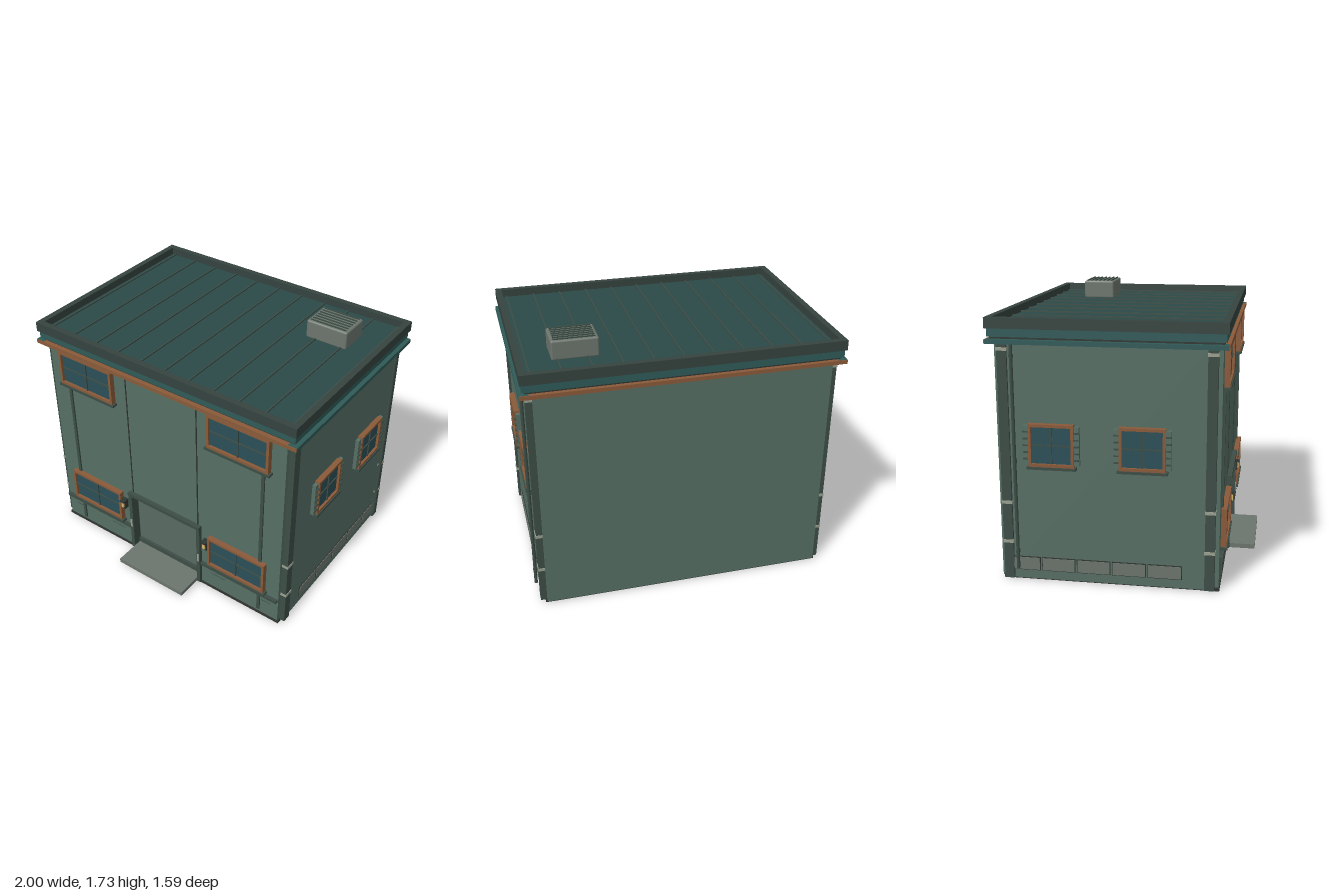
import * as THREE from 'three';
import { RoundedBoxGeometry } from 'three/addons/geometries/RoundedBoxGeometry.js';

const mat = (color, side = THREE.FrontSide) => new THREE.MeshStandardMaterial({ color, side });

export function createModel() {
  const M = {
    wall: mat(0x566f64), trim: mat(0x3d4d46), dark: mat(0x303632), roof: mat(0x2b4a47),
    teal: mat(0x2f5a57), parapet: mat(0x35433f), copper: mat(0x8a5a3a), glass: mat(0x2c4f58),
    grey: mat(0x6c756d), pale: mat(0x9aa090), lamp: mat(0xd9b56a), door: mat(0x586b61),
  };
  const model = new THREE.Group();
  model.name = 'building';

  const add = (parent, name, geometry, material, x = 0, y = 0, z = 0) => {
    const mesh = new THREE.Mesh(geometry, material);
    mesh.name = name;
    mesh.position.set(x, y, z);
    parent.add(mesh);
    return mesh;
  };
  // Box given by its limits on each axis
  const box = (name, material, x0, x1, y0, y1, z0, z1, parent = model) =>
    add(parent, name, new THREE.BoxGeometry(x1 - x0, y1 - y0, z1 - z0), material,
      (x0 + x1) / 2, (y0 + y1) / 2, (z0 + z1) / 2);
  // Rectangular ring of four bars, w x h outside, facing +z
  const frameGeometry = (w, h, t, depth) => {
    const rect = (C, a, b) => new C([[-a, -b], [a, -b], [a, b], [-a, b]].map(p => new THREE.Vector2(...p)));
    const shape = rect(THREE.Shape, w / 2, h / 2);
    shape.holes.push(rect(THREE.Path, w / 2 - t, h / 2 - t));
    return new THREE.ExtrudeGeometry(shape, { depth, bevelEnabled: false });
  };

  // Window with frame, glass, cross bars, sill and optional shutters; back lies on z = 0
  const makeWindow = (name, w, h, shutters) => {
    const g = new THREE.Group();
    g.name = name;
    add(g, 'windowFrame', frameGeometry(w, h, 0.018, 0.035), M.copper);
    box('glass', M.glass, -w / 2 + 0.01, w / 2 - 0.01, -h / 2 + 0.01, h / 2 - 0.01, 0, 0.018, g);
    box('mullion', M.trim, -0.004, 0.004, -h / 2 + 0.01, h / 2 - 0.01, 0.01, 0.026, g);
    box('crossBar', M.trim, -w / 2 + 0.01, w / 2 - 0.01, -0.004, 0.004, 0.01, 0.025, g);
    box('sill', M.trim, -w / 2 - 0.012, w / 2 + 0.012, -h / 2 - 0.016, -h / 2, 0, 0.042, g);
    if (shutters) for (const s of [-1, 1]) {
      const c = s * (w / 2 + 0.016);
      box('shutter', M.wall, c - 0.016, c + 0.016, -h / 2 + 0.012, h / 2 - 0.012, 0, 0.025, g);
      for (let i = 0; i < 5; i++) {
        const y = (i - 2) * 0.042;
        box('shutterSlat', M.trim, c - 0.015, c + 0.015, y - 0.004, y + 0.004, 0.02, 0.036, g);
      }
    }
    model.add(g);
    return g;
  };

  // Main body, back wall and plinth
  box('body', M.wall, -0.945, 0.945, 0.012, 1.53, -0.735, 0.55);
  box('backWall', M.wall, -0.92, 0.92, 0.012, 1.52, -0.76, -0.73);
  box('plinth', M.dark, -0.93, 0.93, 0, 0.02, -0.75, 0.605);

  // Front wall with a doorway notch
  const front = new THREE.Shape([
    [-0.92, 0.012], [-0.28, 0.012], [-0.28, 0.515], [0.28, 0.515], [0.28, 0.012],
    [0.92, 0.012], [0.92, 1.52], [-0.92, 1.52],
  ].map(p => new THREE.Vector2(...p)));
  add(model, 'frontWall', new THREE.ExtrudeGeometry(front, { depth: 0.055, bevelEnabled: false }),
    M.wall, 0, 0, 0.545);

  // Doorway
  box('doorPanel', M.door, -0.28, 0.28, 0.07, 0.515, 0.54, 0.555);
  box('doorSill', M.trim, -0.28, 0.28, 0.02, 0.08, 0.54, 0.575);
  box('doorLintel', M.trim, -0.305, 0.305, 0.51, 0.535, 0.57, 0.632);
  box('doorStep', M.grey, -0.275, 0.275, 0.015, 0.045, 0.55, 0.795);

  for (const s of [-1, 1]) {
    // Box reflected to side s
    const side = (name, m, x0, x1, ...r) => s > 0 ? box(name, m, x0, x1, ...r) : box(name, m, -x1, -x0, ...r);

    // Front details
    side('doorJamb', M.trim, 0.278, 0.305, 0.02, 0.51, 0.56, 0.625);
    side('doorLatch', M.pale, 0.286, 0.3, 0.22, 0.285, 0.62, 0.63);
    side('panelSeam', M.dark, 0.274, 0.281, 0.535, 1.5, 0.595, 0.604);
    side('frontLedge', M.trim, 0.31, 0.915, 0.192, 0.214, 0.595, 0.622);
    side('frontStrip', M.trim, 0.76, 0.782, 0.045, 1.25, 0.595, 0.61);
    side('wallGroove', M.trim, 0.38, 0.5, 0.138, 0.142, 0.597, 0.602);
    side('wallGroove', M.trim, 0.79, 0.86, 0.138, 0.142, 0.597, 0.602);
    side('lampBracket', M.dark, 0.334, 0.369, 0.37, 0.44, 0.595, 0.635);
    side('lampLight', M.lamp, 0.342, 0.361, 0.385, 0.425, 0.63, 0.645);
    side('lampCap', M.dark, 0.332, 0.371, 0.43, 0.442, 0.6, 0.65);
    for (const y of [1.372, 0.367])
      makeWindow('frontWindow', 0.445, 0.245, false).position.set(s * 0.597, y, 0.6);

    // Corner posts with bands
    for (const [z0, z1] of [[0.515, 0.575], [-0.735, -0.675]]) {
      side('cornerPost', M.trim, 0.9, 0.96, 0.012, 1.5, z0, z1);
      for (const y of [0.257, 0.513, 1.466])
        side('postBand', M.pale, 0.91, 0.964, y - 0.01, y + 0.01, z0 - 0.003, z1 + 0.003);
    }

    // Side windows
    for (const z of [0.138, -0.415]) {
      const w = makeWindow('sideWindow', 0.28, 0.265, true);
      w.position.set(s * 0.945, 0.888, z);
      w.rotation.y = s * Math.PI / 2;
    }

    // Foundation panels
    for (let i = 0; i < 5; i++) {
      const z = 0.271 - i * 0.221;
      side('foundationRim', M.dark, 0.94, 0.95, 0.068, 0.157, z - 0.106, z + 0.106);
      side('foundationPanel', M.grey, 0.94, 0.954, 0.073, 0.152, z - 0.101, z + 0.101);
    }

    // Downpipe with collars
    add(model, 'downpipe', new THREE.CylinderGeometry(0.011, 0.011, 1.42, 10), M.trim, s * 0.975, 0.8, -0.642);
    for (const y of [0.2, 0.78, 1.43]) {
      add(model, 'pipeCollar', new THREE.CylinderGeometry(0.014, 0.014, 0.012, 10), M.trim, s * 0.975, y, -0.642);
      side('pipeClip', M.trim, 0.94, 0.975, y - 0.005, y + 0.005, -0.648, -0.636);
    }

    // Side cornice and parapet
    side('sideCornice', M.teal, 0.94, 1, 1.5, 1.527, -0.79, 0.635);
    side('sideParapet', M.parapet, 0.95, 0.99, 1.59, 1.655, -0.795, 0.635);
  }

  // Front and back cornice, upper band and parapet
  box('frontCornice', M.copper, -0.998, 0.998, 1.501, 1.526, 0.58, 0.64);
  box('backCornice', M.copper, -0.998, 0.998, 1.501, 1.526, -0.797, -0.74);
  box('corniceNeck', M.dark, -0.965, 0.965, 1.52, 1.545, -0.77, 0.61);
  box('upperBand', M.teal, -0.98, 0.98, 1.54, 1.592, -0.783, 0.622);
  box('frontParapet', M.parapet, -0.95, 0.95, 1.59, 1.655, 0.595, 0.635);
  box('backParapet', M.parapet, -0.95, 0.95, 1.59, 1.655, -0.795, -0.755);

  // Roof deck with raised seams
  box('roofDeck', M.roof, -0.955, 0.955, 1.58, 1.605, -0.76, 0.6);
  for (let i = 0; i < 11; i++) {
    const x = -0.92 + i * 0.184;
    box('roofSeam', M.trim, x - 0.004, x + 0.004, 1.6, 1.614, -0.755, 0.595);
  }

  // Rooftop vent with slats
  add(model, 'roofVent', new RoundedBoxGeometry(0.29, 0.125, 0.217, 2, 0.012), M.grey, 0.626, 1.662, -0.418);
  for (let i = 0; i < 7; i++) {
    const z = -0.418 + (i - 3) * 0.029;
    box('ventSlat', M.trim, 0.5, 0.752, 1.72, 1.731, z - 0.004, z + 0.004);
  }

  return model;
}
